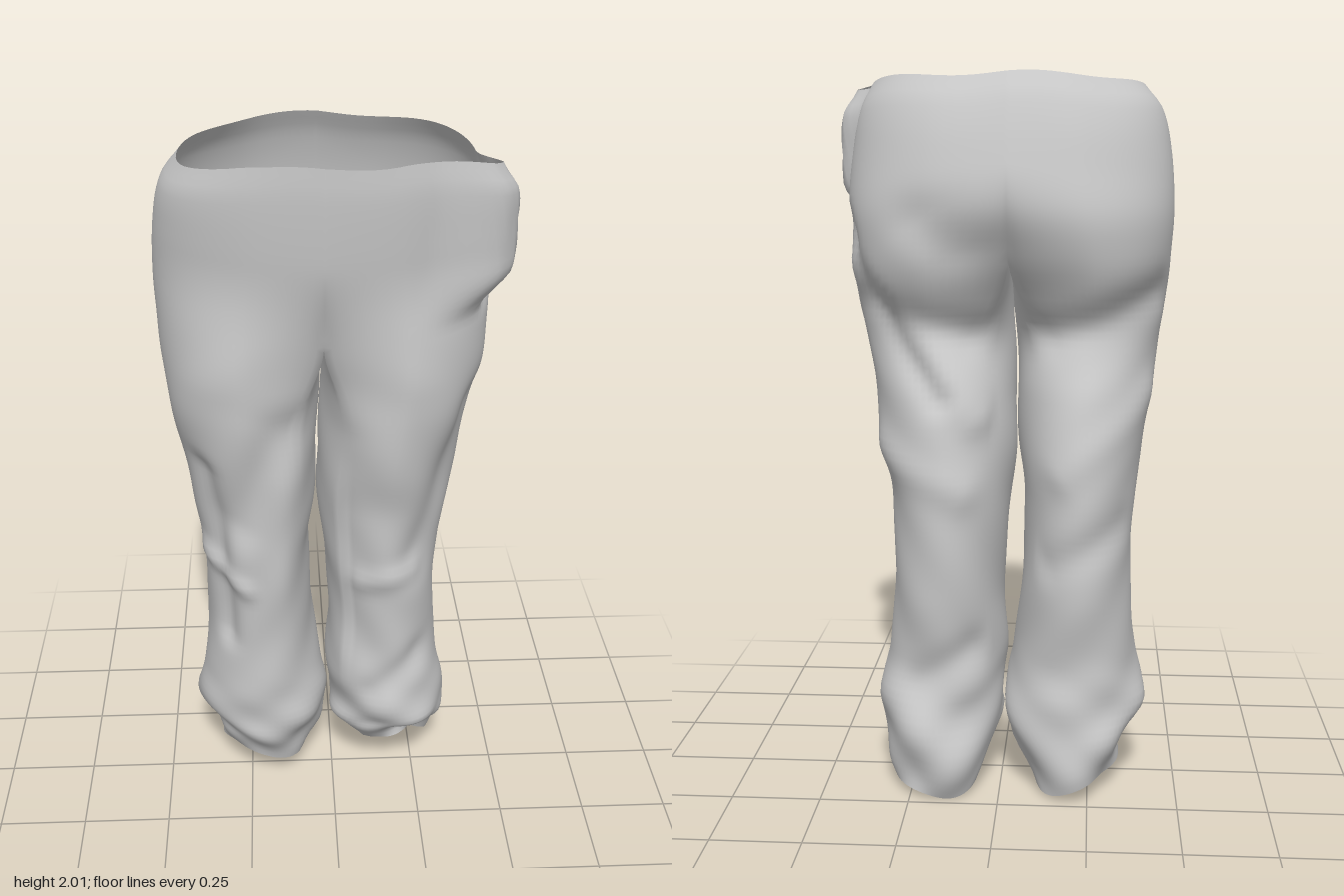
import * as THREE from 'three';
import { mergeVertices } from 'three/addons/utils/BufferGeometryUtils.js';

const CENTRE = -0.03, CROTCH = 1.53, SEAM = 0.87; // SEAM: angle of the leg seams from the inside of the leg
const OUT = 48, IN = 16;                          // columns around the outer and inner side of a leg

// y, right outer x, right inner x, left outer x, left inner x, front z, back z
const SECTIONS = [
  [2.00, -.385, -.03, .355, -.03, .345, -.262],
  [1.93, -.43, -.03, .39, -.03, .343, -.295],
  [1.80, -.455, -.03, .405, -.03, .328, -.33],
  [1.65, -.465, -.03, .415, -.03, .305, -.35],
  [1.53, -.46, -.03, .412, -.03, .292, -.315],
  [1.40, -.45, -.035, .402, -.03, .28, -.25],
  [1.30, -.435, -.04, .385, -.033, .272, -.215],
  [1.15, -.41, -.043, .355, -.038, .25, -.255],
  [1.00, -.39, -.047, .335, -.042, .225, -.278],
  [0.85, -.37, -.065, .305, -.028, .21, -.285],
  [0.60, -.365, -.058, .30, -.01, .18, -.27],
  [0.40, -.385, -.035, .32, -.02, .168, -.235],
  [0.27, -.405, -.01, .35, 0, .152, -.24],
  [0.17, -.36, -.04, .335, 0, .13, -.255],
  [0.06, -.33, -.09, .30, .06, .09, -.235],
];

// Folds in the cloth: side, u and y of both ends, depth, width (u runs front seam 0 to back seam 1)
const FOLDS = [
  [-1, .32, 1.15, .3, .6, -.022, .04], [-1, .2, 1.0, .05, 1.3, -.02, .07],
  [-1, .2, .78, .4, .85, .015, .03], [-1, .95, 1.32, .6, 1.42, -.02, .05],
  [-1, .9, .95, .6, 1.15, .012, .05], [-1, .95, .7, .65, .8, -.012, .05],
  [1, .42, 1.3, .28, .85, -.025, .07], [1, .28, .82, .05, .78, .013, .035],
  [1, .1, .38, .3, .5, -.018, .05], [1, .55, 1.6, .85, 1.15, -.025, .035],
  [1, .6, 1.5, .95, 1.1, .018, .05], [1, .95, 1.32, .65, 1.4, -.018, .05],
  [1, .9, .9, .6, 1.0, .012, .05], [1, .75, .35, .95, .45, -.015, .05],
  [1, .4, 1.62, .52, 1.92, -.022, .035], [1, .06, 1.0, .08, .55, -.02, .12],
  [1, .84, 1.62, .92, 1.55, -.025, .07], [1, .1, .08, .35, .08, -.03, .07],
];

const { smoothstep, lerp, clamp } = THREE.MathUtils;

// Smooth interpolation of the section table at height y
function section(y) {
  let i = 0;
  while (i < SECTIONS.length - 2 && y < SECTIONS[i + 1][0]) i++;
  const a = SECTIONS[i], b = SECTIONS[i + 1];
  const p = SECTIONS[Math.max(i - 1, 0)], n = SECTIONS[Math.min(i + 2, SECTIONS.length - 1)];
  const h = b[0] - a[0], t = (y - a[0]) / h;
  return a.map((v, k) => {
    const m0 = (b[k] - p[k]) / (b[0] - p[0]) * h, m1 = (n[k] - v) / (n[0] - a[0]) * h;
    const t2 = t * t, t3 = t2 * t;
    return v * (2 * t3 - 3 * t2 + 1) + m0 * (t3 - 2 * t2 + t) + b[k] * (3 * t2 - 2 * t3) + m1 * (t3 - t2);
  });
}

function foldDepth(side, u, y) {
  let sum = 0;
  for (const [s, u0, y0, u1, y1, depth, width] of FOLDS) {
    if (s !== side) continue;
    const dx = (u1 - u0) * .8, dy = y1 - y0, px = (u - u0) * .8, py = y - y0;
    const t = clamp((px * dx + py * dy) / (dx * dx + dy * dy), 0, 1);
    const d = Math.hypot(px - t * dx, py - t * dy) / width;
    sum += depth * Math.exp(-d * d);
  }
  return sum;
}

// Point on one half of the cloth; column 0..OUT is the outer side, then the inner side
function clothPoint(side, col, y) {
  const row = section(y), zf = row[5], zb = row[6];
  const xo = side < 0 ? row[1] : row[3], xi = side < 0 ? row[2] : row[4];
  const cx = (xo + xi) / 2, rx = Math.abs(xo - xi) / 2, zm = (zf + zb) / 2, rz = (zf - zb) / 2;
  const outer = col <= OUT, u = outer ? col / OUT : (col - OUT) / IN;
  const theta = outer ? SEAM + (2 * Math.PI - 2 * SEAM) * u : -SEAM + 2 * SEAM * u;

  // blend the half oval of the hips into the closed oval of the leg, narrower outward at the thigh
  const hip = smoothstep(y, 1.4, 1.76);
  const egg = 1 - (side < 0 ? .1 : .17) * smoothstep(y, .7, 1.4) * Math.max(-Math.cos(theta), 0);
  const hipX = outer ? CENTRE + (xo - CENTRE) * Math.max(Math.sin(Math.PI * u), 0) : CENTRE;
  const hipZ = zm + rz * (outer ? Math.cos(Math.PI * u) : 2 * u - 1);
  let x = lerp(cx - side * rx * Math.cos(theta), hipX, hip);
  let z = lerp(zm + rz * egg * Math.sin(theta), hipZ, hip);

  // fuller front inner corner of the right knee
  if (side < 0 && Math.cos(theta) > 0 && Math.sin(theta) > 0)
    z += .13 * rz * Math.sin(2 * theta) ** 2 * smoothstep(y, .4, .8) * (1 - smoothstep(y, 1.1, 1.45));

  // draw both halves together at the crotch
  const edge = outer ? Math.max(0, 1 - Math.min(u, 1 - u) / .15) ** 2 : 1;
  const join = edge * smoothstep(y, 1.25, CROTCH);
  x = lerp(x, CENTRE, join);

  // folds and small wrinkles, pushed along the radius
  const low = 1 - smoothstep(y, .2, .45);
  let d = outer ? foldDepth(side, u, y) : 0;
  if (y < 1.6) d += .004 * Math.sin(3 * theta + 13 * y + side) * Math.sin(9 * y + 2 * theta) * smoothstep(1.6 - y, 0, .2);
  d += low * (.009 * Math.sin(3 * theta + 24 * y + 2 * side) + .004 * Math.sin(5 * theta - 35 * y));
  const nx = (x - cx) / rx, nz = (z - zm) / rz, len = Math.hypot(nx, nz) || 1;
  x += nx / len * d * (1 - join);
  z += nz / len * d * (1 - join);

  // pocket edge standing out at the left hip
  if (side > 0 && outer) {
    const peak = .335 + (y - 1.65) * .15;
    const across = u < peak ? smoothstep(u, peak - .16, peak - .04) : 1 - smoothstep(u, peak + .02, peak + .11);
    x += .085 * across * smoothstep(y, 1.57, 1.7) * (1 - .15 * smoothstep(y, 1.93, 2));
  }

  // wavy waistline and tilted, ragged hems
  const waist = smoothstep(y, 1.75, 2);
  let py = y - waist * (.035 * (1 - Math.min(1, (z / .3) ** 2)) + .008 * Math.sin(14 * z) + .006 * Math.sin(17 * x));
  const hem = 1 - smoothstep(y, .06, .3);
  const ragged = .012 * Math.sin(3 * theta + 1);
  py += hem * (ragged + (side > 0 ? .075 * Math.sin(theta) + .02 : .035 * Math.sin(theta) - .025 * Math.cos(theta) + .01));
  return [x, py, z];
}

export function createModel() {
  const heights = [];
  const TOP = 22, LOW = 64;
  for (let j = 0; j <= TOP; j++) heights.push(lerp(2, CROTCH, j / TOP));
  for (let j = 1; j <= LOW; j++) heights.push(lerp(CROTCH, .06, j / LOW));

  // surface of both halves, with the faces sorted by part
  const positions = [], parts = { waistAndSeat: [], rightLeg: [], leftLeg: [] };
  const cols = OUT + IN;
  for (const side of [-1, 1]) {
    const base = positions.length / 3;
    for (const y of heights)
      for (let i = 0; i < cols; i++) positions.push(...clothPoint(side, i, y));
    for (let j = 0; j < heights.length - 1; j++) {
      const part = j < TOP ? parts.waistAndSeat : side < 0 ? parts.rightLeg : parts.leftLeg;
      for (let i = 0; i < (j < TOP ? OUT : cols); i++) {
        const a = base + j * cols + i, b = base + j * cols + (i + 1) % cols, c = a + cols, e = b + cols;
        if (side < 0) part.push(a, c, b, b, c, e);
        else part.push(a, b, c, b, e, c);
      }
    }
  }

  // weld the centre seam so shading runs across all parts
  let cloth = new THREE.BufferGeometry();
  cloth.setAttribute('position', new THREE.Float32BufferAttribute(positions, 3));
  cloth.setIndex(Object.values(parts).flat());
  cloth = mergeVertices(cloth, 1e-4);
  cloth.computeVertexNormals();
  cloth.computeBoundingBox();
  cloth.translate(0, -cloth.boundingBox.min.y, 0);

  const group = new THREE.Group();
  group.name = 'trousers';
  const material = new THREE.MeshStandardMaterial({ color: 0xcccccc, side: THREE.DoubleSide });
  const index = Array.from(cloth.index.array);
  let start = 0;
  for (const [name, faces] of Object.entries(parts)) {
    const geometry = cloth.clone();
    geometry.setIndex(index.slice(start, start + faces.length));
    start += faces.length;
    const mesh = new THREE.Mesh(geometry, material);
    mesh.name = name;
    group.add(mesh);
  }
  return group;
}
